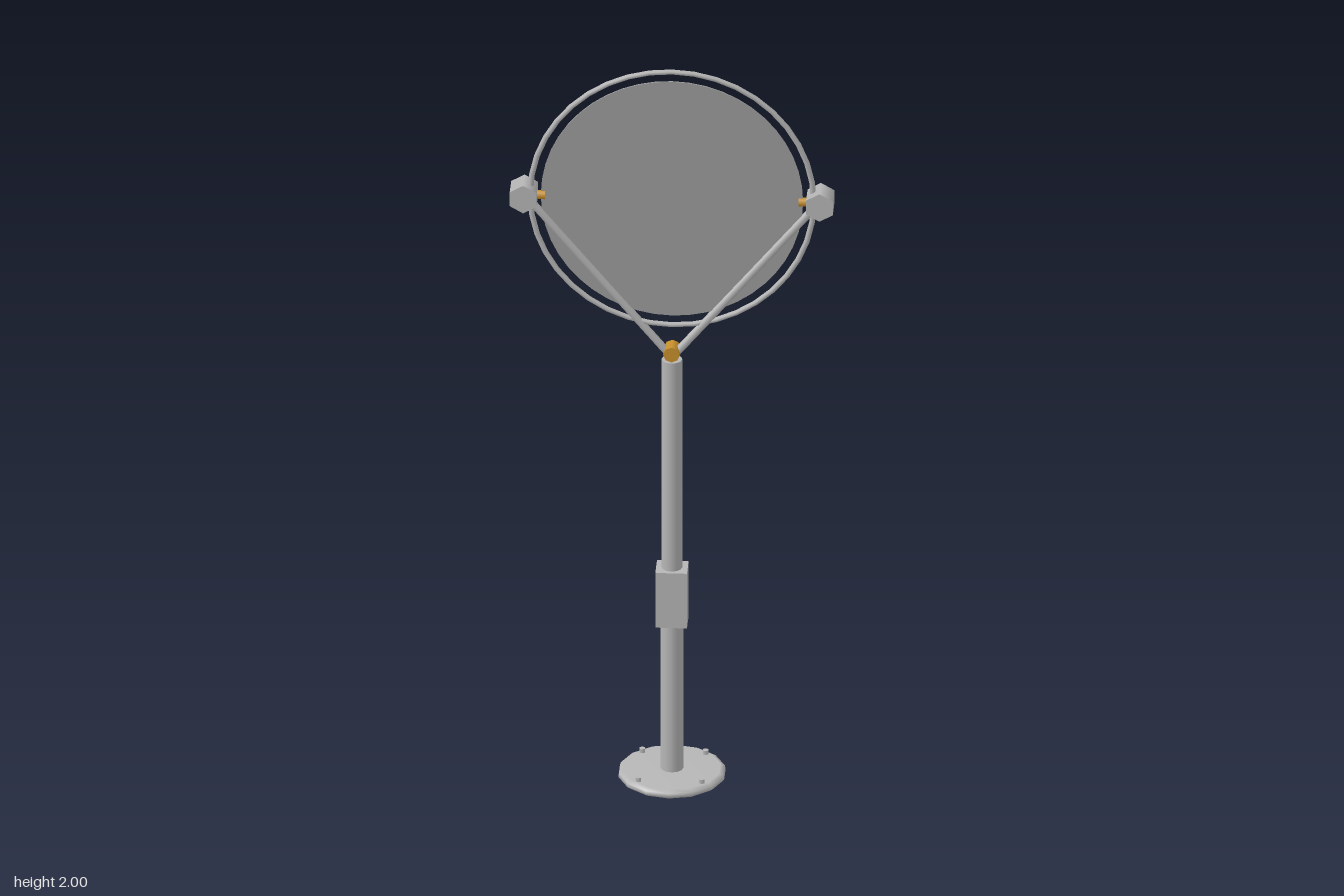
import * as THREE from 'three';

const mat = (name, color, extra = {}) => {
  const m = new THREE.MeshStandardMaterial({ color, ...extra });
  m.name = name;
  return m;
};

export function createModel() {
  const root = new THREE.Group();
  root.name = 'standMirror';
  const metal = mat('brushedMetal', 0xb6b6b6);
  const brass = mat('brass', 0xc8902c);
  const glass = mat('mirrorGlass', 0x9c9c9c);

  const add = (name, geo, material, x = 0, y = 0, z = 0) => {
    const mesh = new THREE.Mesh(geo, material);
    mesh.name = name;
    mesh.position.set(x, y, z);
    root.add(mesh);
    return mesh;
  };
  const tube = (r, h, sides) => new THREE.CylinderGeometry(r, r, h, sides);

  // Bevelled base plate with four screws
  const profile = [[0, 0], [0.128, 0], [0.137, 0.007], [0.135, 0.017], [0.124, 0.023], [0, 0.023]]
    .map(([x, y]) => new THREE.Vector2(x, y));
  add('basePlate', new THREE.LatheGeometry(profile, 14), metal);
  for (const x of [-0.08, 0.08])
    for (const z of [-0.08, 0.08])
      add('baseScrew', tube(0.008, 0.016, 6), metal, x, 0.026, z);

  // Telescopic pole with its clamp block
  add('lowerPole', tube(0.029, 0.43, 12), metal, 0, 0.23);
  add('poleClamp', new THREE.BoxGeometry(0.08, 0.155, 0.071), metal, 0, 0.513);
  add('upperPole', tube(0.026, 0.6, 12), metal, 0, 0.88);

  // Pivot on top of the pole
  add('pivotPin', tube(0.021, 0.044, 8), brass, 0, 1.202).rotation.x = Math.PI / 2;

  // Ring frame and thin round mirror
  const centre = 1.635;
  add('ringFrame', new THREE.TorusGeometry(0.358, 0.0072, 6, 40), metal, 0, centre);
  add('mirrorDisc', tube(0.331, 0.004, 48), glass, 0, centre).rotation.x = Math.PI / 2;

  // Fork arms, side knobs and hinge pins, mirrored
  for (const s of [-1, 1]) {
    const from = new THREE.Vector3(0, 1.185, 0);
    const to = new THREE.Vector3(s * 0.365, 1.627, 0);
    const dir = to.clone().sub(from);
    const arm = add('forkArm', tube(0.0105, dir.length(), 8), metal);
    arm.position.copy(from).add(to).multiplyScalar(0.5);
    arm.quaternion.setFromUnitVectors(new THREE.Vector3(0, 1, 0), dir.normalize());

    add('sideKnob', tube(0.039, 0.063, 6), metal, s * 0.374, centre, -0.001).rotation.x = Math.PI / 2;
    add('hingePin', tube(0.012, 0.03, 8), brass, s * 0.335, centre).rotation.z = Math.PI / 2;
  }
  return root;
}
